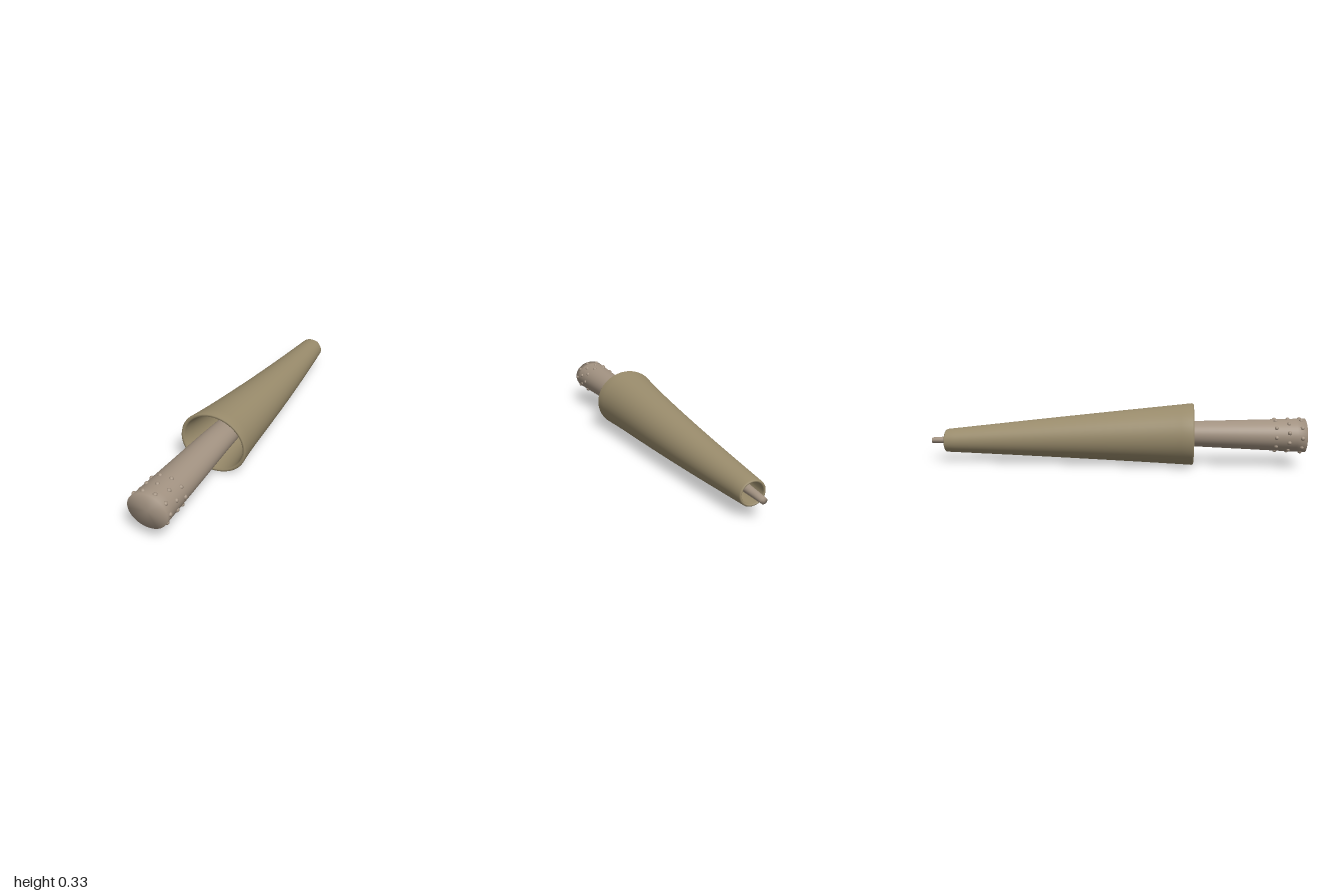
import * as THREE from 'three';

const SIDES = 40;
const lerp = THREE.MathUtils.lerp;

// Smooth skin over elliptical rings [x, y, z, rx, ry], ordered front to back
function loft(rings, closed) {
  const pos = [], index = [];
  for (const [x, y, z, rx, ry] of rings) {
    for (let j = 0; j < SIDES; j++) {
      const a = (j / SIDES) * Math.PI * 2;
      pos.push(x + rx * Math.cos(a), y + ry * Math.sin(a), z);
    }
  }
  const n = rings.length;
  for (let i = 0; i < (closed ? n : n - 1); i++) {
    for (let j = 0; j < SIDES; j++) {
      const k = (j + 1) % SIDES, i2 = (i + 1) % n;
      const a = i * SIDES + j, b = i2 * SIDES + j, c = i * SIDES + k, d = i2 * SIDES + k;
      index.push(a, b, c, b, d, c);
    }
  }
  const g = new THREE.BufferGeometry();
  g.setAttribute('position', new THREE.Float32BufferAttribute(pos, 3));
  g.setIndex(index);
  g.computeVertexNormals();
  return g;
}

// Sheath section at t (0 = mouth, 1 = tail), inset by a wall depth
function sheathRing(t, inset) {
  const flare = 0.012 * Math.exp(-t * 12);
  return [
    0.011 * Math.sin(t * Math.PI), lerp(0.166, 0.112, t), lerp(0.42, -0.92, t),
    lerp(0.168, 0.067, t) + flare - inset, lerp(0.164, 0.062, t) - inset,
  ];
}

// Core section at depth z, wide at the tip and narrowing to a thin rod
function coreRing(z, scale = 1) {
  let r, ry, y;
  if (z > 0.42) {
    const t = (1 - z) / 0.58;
    r = lerp(0.101, 0.077, t);
    ry = lerp(0.088, 0.067, t);
    y = 0.167;
  } else {
    const t = (0.42 - z) / 1.42;
    r = lerp(0.077, 0.017, t);
    ry = lerp(0.067, 0.015, t);
    y = lerp(0.167, 0.112, t);
  }
  const x = z > 0.42 ? 0.004 * Math.sin((1 - z) / 0.58 * Math.PI / 2) : 0.004 * (z + 1) / 1.42;
  return [x, y, z, r * scale, ry * scale];
}

export function createModel() {
  const model = new THREE.Group();
  const sheathMat = new THREE.MeshStandardMaterial({ color: 0x9a8c6c });
  const coreMat = new THREE.MeshStandardMaterial({ color: 0xa39382 });
  const add = (name, geometry, material, parent = model) => {
    const mesh = new THREE.Mesh(geometry, material);
    mesh.name = name;
    parent.add(mesh);
    return mesh;
  };

  // Hollow tapered sheath: outer wall, rounded tail rim, inner wall, rounded mouth rim
  const steps = 24, rings = [];
  const wall = t => lerp(0.02, 0.013, t);
  for (let i = 0; i <= steps; i++) {
    const t = lerp(0.006, 0.996, i / steps);
    rings.push(sheathRing(t, 0));
  }
  rings.push(sheathRing(1, wall(1) * 0.3), sheathRing(1, wall(1) * 0.7));
  for (let i = steps; i >= 0; i--) {
    const t = lerp(0.006, 0.996, i / steps);
    rings.push(sheathRing(t, wall(t)));
  }
  rings.push(sheathRing(0, wall(0) * 0.75), sheathRing(0, wall(0) * 0.25));
  add('sheath', loft(rings, true), sheathMat);

  // Solid core running right through the sheath
  const core = [coreRing(1, 0)];
  for (let i = 0; i <= 40; i++) core.push(coreRing(1 - i / 20));
  core.push(coreRing(-1, 0));
  add('core', loft(core, false), coreMat);

  // Three staggered rows of bumps around the tip
  const bumps = new THREE.Group();
  bumps.name = 'tipBumps';
  model.add(bumps);
  const bumpGeo = new THREE.SphereGeometry(0.011, 12, 8);
  [0.975, 0.91, 0.845].forEach((z, row) => {
    const [x, y, , rx, ry] = coreRing(z);
    for (let j = 0; j < 10; j++) {
      const a = ((j + (row % 2 ? 0 : 0.5)) / 10) * Math.PI * 2;
      add('bump', bumpGeo, coreMat, bumps)
        .position.set(x + rx * 0.97 * Math.sin(a), y + ry * 0.97 * Math.cos(a), z);
    }
  });

  return model;
}
